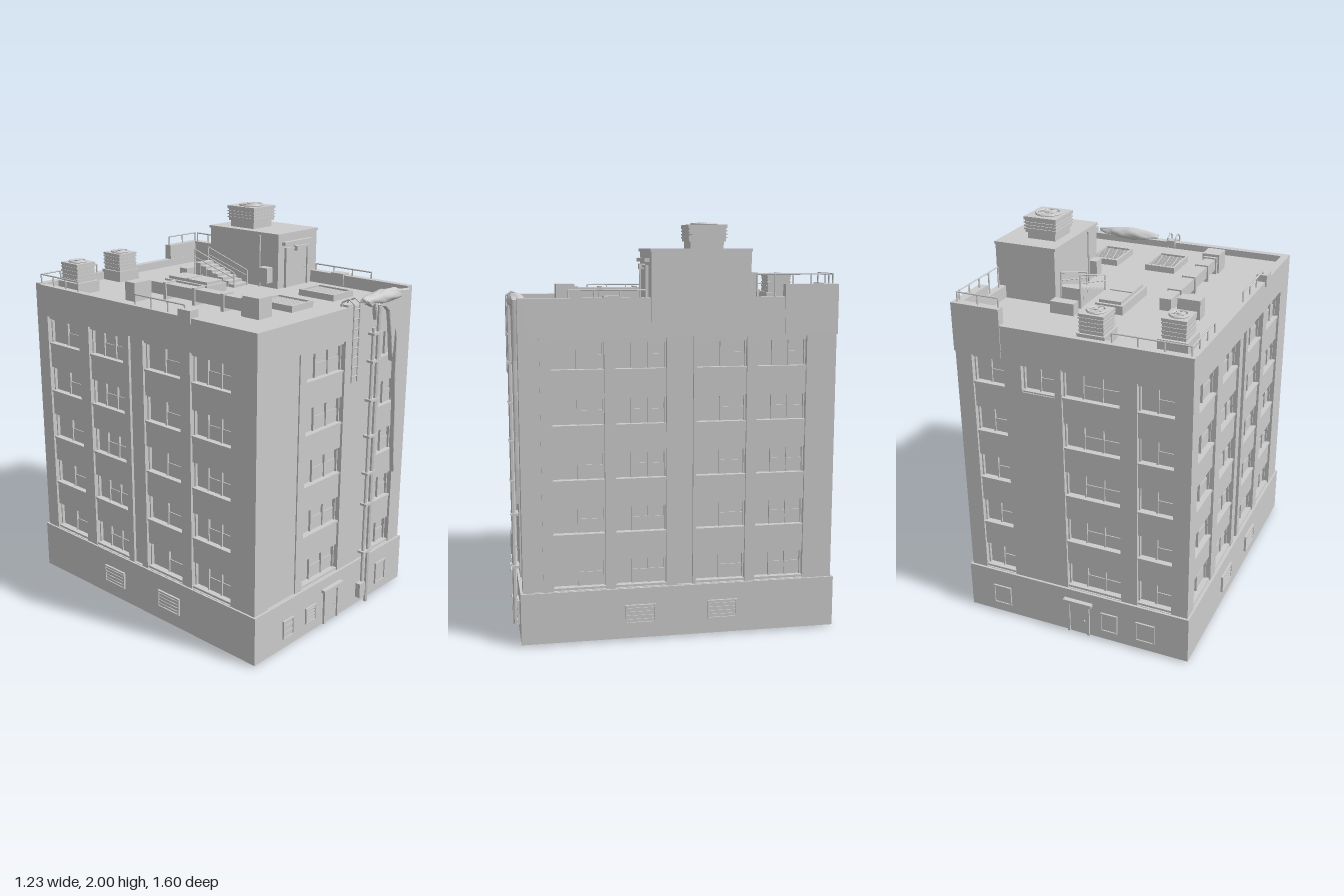
import * as THREE from 'three';

const mat = new THREE.MeshStandardMaterial({ color: 0xcccccc, flatShading: true });
const sheet = new THREE.MeshStandardMaterial({ color: 0xcccccc, side: THREE.DoubleSide });
const W = 0.595, D = 0.762, ZC = -0.007;   // half width, half depth, centre of the body
const ROOF = 1.59;

function add(parent, name, geo, x = 0, y = 0, z = 0, m = mat) {
  const mesh = new THREE.Mesh(geo, m);
  mesh.name = name;
  mesh.position.set(x, y, z);
  parent.add(mesh);
  return mesh;
}
// Box given by its limits
function box(parent, name, x0, x1, y0, y1, z0, z1) {
  return add(parent, name, new THREE.BoxGeometry(x1 - x0, y1 - y0, z1 - z0), (x0 + x1) / 2, (y0 + y1) / 2, (z0 + z1) / 2);
}
function group(parent, name) {
  const g = new THREE.Group();
  g.name = name;
  parent.add(g);
  return g;
}
// Round bar through a few points
function bar(parent, name, pts, r = 0.004) {
  for (let i = 1; i < pts.length; i++) {
    const a = new THREE.Vector3(...pts[i - 1]), b = new THREE.Vector3(...pts[i]);
    const m = add(parent, name, new THREE.CylinderGeometry(r, r, a.distanceTo(b), 6));
    m.position.copy(a).lerp(b, 0.5);
    m.quaternion.setFromUnitVectors(new THREE.Vector3(0, 1, 0), b.sub(a).normalize());
  }
}

const floorY = i => 0.268 + 0.2618 * i, WIN = 0.135;

// Framed window set back in the wall; local z = 0 is the wall face
function windowUnit(parent, u0, u1, y, panes) {
  const g = group(parent, 'window'), f = 0.007;
  box(g, 'frameTop', u0, u1, y + WIN - f, y + WIN, -0.04, -0.024);
  box(g, 'sill', u0, u1, y - 0.004, y + f, -0.04, -0.006);
  for (const u of [u0, u1 - f]) box(g, 'frameSide', u, u + f, y, y + WIN, -0.04, -0.024);
  for (let p = 1; p < panes; p++) {
    const u = u0 + (u1 - u0) * p / panes;
    box(g, 'mullion', u - 0.004, u + 0.004, y, y + WIN, -0.04, -0.028);
  }
  box(g, 'sash', u0 + (u1 - u0) / panes, u1, y + f, y + WIN * 0.55, -0.04, -0.035);
}

// Wall facing local +z: window columns, single top windows and shallow blind panels
function wall(parent, name, half, top, cols, singles, panels) {
  const g = group(parent, name);
  const s = new THREE.Shape([[-half, 0.2], [half, 0.2], [half, top], [-half, top]].map(p => new THREE.Vector2(...p)));
  const cut = (a, b, c, d) => s.holes.push(new THREE.Path([[a, c], [a, d], [b, d], [b, c]].map(p => new THREE.Vector2(...p))));
  cols.forEach(([a, b, panes]) => {
    cut(a, b, 0.262, 1.465);
    for (let i = 0; i < 5; i++) {
      const y = floorY(i);
      windowUnit(g, a, b, y, panes);
      box(g, 'spandrel', a, b, y + WIN, i < 4 ? floorY(i + 1) : 1.465, -0.04, -0.012);
    }
  });
  singles.forEach(([a, b]) => {
    cut(a, b, floorY(4), floorY(4) + WIN);
    windowUnit(g, a, b, floorY(4), 2);
  });
  panels.forEach(([a, b, depth]) => {
    cut(a, b, 0.262, 1.47);
    box(g, 'blindPanel', a, b, 0.262, 1.47, -0.04, -depth);
  });
  add(g, 'wallFace', new THREE.ExtrudeGeometry(s, { depth: 0.04, bevelEnabled: false }), 0, 0, -0.04);
  return g;
}

// Framed grille or small window on the plinth
function vent(parent, u0, u1, y0, y1, slats) {
  const g = group(parent, 'plinthVent'), f = 0.007;
  box(g, 'ventBack', u0, u1, y0, y1, 0, 0.015);
  for (const y of [y0, y1 - f]) box(g, 'ventRim', u0, u1, y, y + f, 0, 0.021);
  for (const u of [u0, u1 - f]) box(g, 'ventRim', u, u + f, y0, y1, 0, 0.021);
  for (let i = 1; i <= slats; i++) {
    const y = y0 + (y1 - y0) * i / (slats + 1);
    box(g, 'slat', u0, u1, y - 0.004, y + 0.004, 0, 0.019);
  }
}

function door(parent, u0, u1, y0, y1, z) {
  const g = group(parent, 'door'), f = 0.012;
  box(g, 'doorLeaf', u0 + f, u1 - f, y0, y1 - f, 0, z + 0.003);
  for (const u of [u0, u1 - f]) box(g, 'doorJamb', u, u + f, y0, y1, 0, z + 0.011);
  box(g, 'doorHead', u0, u1, y1 - f, y1, 0, z + 0.011);
  add(g, 'handle', new THREE.SphereGeometry(0.005, 8, 6), u1 - 0.028, y0 + (y1 - y0) * 0.45, z + 0.006);
}

// Cooling unit with louvres and a fan on top
function coolingUnit(parent, x, z, w, d, y0, y1, foot) {
  const g = group(parent, 'coolingUnit');
  g.position.set(x, 0, z);
  const a = w / 2, b = d / 2, h = y1 - y0;
  box(g, 'unitFoot', -a * foot, a * foot, y0, y0 + h * 0.35, -b * foot, b * foot);
  box(g, 'unitBody', -a * 0.94, a * 0.94, y0 + h * 0.3, y1 - 0.018, -b * 0.94, b * 0.94);
  for (let i = 0; i < 4; i++) {
    const y = y0 + h * (0.42 + 0.12 * i);
    box(g, 'louvre', -a, a, y, y + 0.006, -b, b);
  }
  box(g, 'unitLid', -a, a, y1 - 0.024, y1 - 0.012, -b, b);
  const r = Math.min(a, b) * 0.68;
  add(g, 'fanRing', new THREE.TorusGeometry(r, 0.007, 6, 24), 0, y1 - 0.009, 0).rotation.x = Math.PI / 2;
  add(g, 'fanHub', new THREE.CylinderGeometry(r * 0.25, r * 0.25, 0.012, 10), 0, y1 - 0.007, 0);
  for (let i = 0; i < 6; i++) {
    const blade = add(g, 'fanBlade', new THREE.BoxGeometry(r * 0.8, 0.003, r * 0.35).translate(r * 0.5, 0, 0), 0, y1 - 0.008, 0);
    blade.rotation.set(0.25, i * Math.PI / 3, 0, 'YXZ');
  }
}

// Railing along a line on the parapet
function railing(parent, a, b, y0, y1, posts) {
  const g = group(parent, 'railing');
  bar(g, 'handrail', [[a[0], y1, a[1]], [b[0], y1, b[1]]]);
  for (let i = 0; i < posts; i++) {
    const t = i / (posts - 1), x = a[0] + (b[0] - a[0]) * t, z = a[1] + (b[1] - a[1]) * t;
    bar(g, 'post', [[x, y0, z], [x, y1, z]]);
  }
}

export function createModel() {
  const root = new THREE.Group();
  root.name = 'apartmentBlock';
  const body = group(root, 'body');
  body.position.z = ZC;

  // Core behind the windows, roof slab and plinth
  box(body, 'core', -W + 0.04, W - 0.04, 0.2, ROOF - 0.01, -D + 0.04, D - 0.04);
  box(body, 'roofDeck', -W + 0.01, W - 0.01, 1.55, ROOF, -D + 0.01, D - 0.01);
  box(body, 'plinth', -W - 0.01, W + 0.01, 0.01, 0.26, -D - 0.012, D + 0.012);

  // Four walls, drawn in their own facing direction
  const front = wall(body, 'frontWall', W, 1.625, [[-0.245, 0.045, 3], [0.345, 0.5, 2]], [], [[-0.5, -0.295, 0.007]]);
  const right = wall(body, 'rightWall', D, 1.652, [[-0.615, -0.365, 2], [-0.315, -0.07, 3], [0.075, 0.32, 2], [0.37, 0.615, 3]], [], [[-0.018, 0.06, 0.014], [-0.705, -0.665, 0.006]]);
  const back = wall(body, 'backWall', W, 1.63, [[-0.51, -0.34, 2], [-0.045, 0.245, 3], [0.33, 0.51, 2]], [[-0.25, -0.08]], []);
  const left = wall(body, 'leftWall', D, 1.625, [[-0.68, -0.43, 2], [-0.355, -0.1, 3], [0.04, 0.29, 2], [0.355, 0.61, 3]], [], [[-0.06, 0.0, 0.014]]);
  front.position.z = D;
  back.position.z = -D;
  back.rotation.y = Math.PI;
  right.position.x = W;
  right.rotation.y = Math.PI / 2;
  left.position.x = -W;
  left.rotation.y = -Math.PI / 2;

  // Plinth openings and street doors
  vent(front, -0.4, -0.32, 0.06, 0.16, 2);
  vent(front, -0.225, -0.145, 0.07, 0.155, 4);
  vent(front, 0.37, 0.46, 0.06, 0.18, 0);
  vent(back, -0.47, -0.37, 0.06, 0.17, 0);
  vent(back, 0.14, 0.23, 0.06, 0.17, 0);
  vent(back, 0.33, 0.43, 0.06, 0.17, 0);
  for (const side of [right, left]) {
    vent(side, -0.275, -0.125, 0.085, 0.178, 4);
    vent(side, 0.13, 0.28, 0.085, 0.178, 4);
  }
  for (const [side, u] of [[front, -0.02], [back, 0.018]]) {
    door(side, u - 0.06, u + 0.06, 0.01, 0.19, 0.012);
    box(side, 'doorCanopy', u - 0.077, u + 0.077, 0.192, 0.208, 0, 0.036);
  }

  // Roof walls: raised back corner, corner pads and piers
  const roof = group(root, 'roof');
  box(roof, 'cornerParapetSide', 0.555, 0.6, 1.47, 1.71, -0.773, -0.51);
  box(roof, 'cornerParapetBack', 0.35, 0.6, 1.47, 1.71, -0.773, -0.73);
  for (const s of [-1, 1]) box(roof, 'parapetPad', s * 0.575 - 0.027, s * 0.575 + 0.027, 1.6, 1.66, 0.28, 0.36);
  box(roof, 'frontParapetPad', 0.06, 0.11, 1.6, 1.635, 0.705, 0.75);

  // Stair house with its door and lamp
  box(roof, 'stairHouse', 0.28, 0.6, 1.47, 1.87, -0.34, 0.137);
  box(roof, 'stairHouseCap', 0.273, 0.603, 1.862, 1.876, -0.345, 0.142);
  const houseFront = group(roof, 'stairHouseFront');
  houseFront.position.z = 0.137;
  door(houseFront, 0.33, 0.52, ROOF, 1.8, 0.003);
  box(houseFront, 'doorHood', 0.31, 0.545, 1.815, 1.832, 0, 0.022);
  box(houseFront, 'lamp', 0.4, 0.43, 1.78, 1.805, 0, 0.03);
  box(roof, 'meterBox', 0.235, 0.28, 1.62, 1.7, 0.04, 0.1);
  bar(roof, 'conduit', [[0.27, ROOF, 0.02], [0.27, 1.86, 0.02]], 0.005);

  // Steps beside the stair house
  const steps = group(roof, 'steps');
  for (let i = 0; i < 7; i++) box(steps, 'step', 0.15, 0.255, ROOF, 1.605 + 0.014 * i, -0.09 - 0.041 * i, -0.05 - 0.041 * i);
  for (const x of [0.147, 0.25]) {
    bar(steps, 'stairRail', [[x, ROOF, -0.05], [x, 1.67, -0.05], [x, 1.76, -0.335], [x, ROOF, -0.335]]);
    bar(steps, 'midRail', [[x, 1.64, -0.05], [x, 1.72, -0.335]], 0.003);
  }

  // Cooling units, skylight, duct and boxes
  coolingUnit(roof, 0.4, -0.155, 0.175, 0.19, 1.87, 2.0, 0.85);
  coolingUnit(roof, -0.455, -0.59, 0.12, 0.13, ROOF, 1.755, 1.2);
  coolingUnit(roof, -0.095, -0.67, 0.125, 0.13, ROOF, 1.75, 1.1);
  box(roof, 'skylightCurb', -0.075, 0.07, ROOF, 1.635, -0.34, -0.035);
  box(roof, 'skylightLid', -0.06, 0.055, 1.63, 1.65, -0.325, -0.05);
  box(roof, 'skylightBar', -0.06, 0.055, 1.63, 1.655, -0.192, -0.183);
  box(roof, 'duct', -0.287, -0.228, 1.61, 1.67, -0.25, 0.42);
  for (const z of [-0.12, 0.08, 0.27, 0.4]) box(roof, 'ductCollar', -0.294, -0.221, ROOF, 1.677, z - 0.009, z + 0.009);
  box(roof, 'ductBox', -0.303, -0.21, ROOF, 1.69, 0.41, 0.51);
  box(roof, 'ventBox', -0.435, -0.32, ROOF, 1.685, -0.255, -0.187);
  box(roof, 'lowBox', 0.135, 0.26, ROOF, 1.65, -0.44, -0.385);
  for (const x of [-0.005, 0.322]) {
    const g = group(roof, 'roofGrille');
    box(g, 'grilleBase', x - 0.07, x + 0.07, ROOF, 1.6, 0.32, 0.52);
    for (const s of [-1, 1]) {
      box(g, 'grilleSide', x + s * 0.076 - 0.006, x + s * 0.076 + 0.006, ROOF, 1.622, 0.31, 0.53);
      box(g, 'grilleEnd', x - 0.08, x + 0.08, ROOF, 1.622, 0.42 + s * 0.104 - 0.006, 0.42 + s * 0.104 + 0.006);
    }
    for (let i = 0; i < 11; i++) box(g, 'grilleSlat', x - 0.07, x + 0.07, 1.6, 1.614, 0.328 + i * 0.0172, 0.338 + i * 0.0172);
  }

  // Railings on the parapets
  railing(roof, [-0.575, -0.03], [-0.575, 0.3], 1.62, 1.675, 4);
  railing(roof, [-0.575, -0.745], [-0.575, -0.45], 1.62, 1.675, 4);
  railing(roof, [-0.575, -0.745], [-0.2, -0.745], 1.62, 1.675, 4);
  railing(roof, [0.575, 0.16], [0.575, 0.52], 1.65, 1.687, 4);
  railing(roof, [0.575, -0.375], [0.575, -0.73], 1.64, 1.757, 5);
  railing(roof, [0.36, -0.75], [0.575, -0.75], 1.7, 1.757, 3);

  // Front drain pipes with brackets and a meter box
  const pipes = group(root, 'drainPipes');
  bar(pipes, 'pipe', [[0.24, 0.13, 0.776], [0.24, 1.5, 0.776]], 0.009);
  bar(pipes, 'pipe', [[0.277, 0, 0.78], [0.277, 1.6, 0.78], [0.277, 1.635, 0.74]], 0.011);
  for (const y of [0.3, 0.57, 0.74, 0.94, 1.13, 1.33, 1.47]) box(pipes, 'bracket', 0.223, 0.296, y - 0.006, y + 0.006, 0.75, 0.793);
  box(pipes, 'pipeBox', 0.2, 0.247, 0.05, 0.13, 0.76, 0.795);

  // Ladder hooked over the front parapet
  const ladder = group(root, 'ladder');
  for (const x of [0.06, 0.105]) bar(ladder, 'ladderRail', [[x, 1.26, 0.785], [x, 1.645, 0.785], [x, 1.665, 0.755], [x, 1.645, 0.715], [x, ROOF, 0.715]]);
  for (let i = 0; i < 8; i++) bar(ladder, 'rung', [[0.06, 1.29 + i * 0.047, 0.785], [0.105, 1.29 + i * 0.047, 0.785]], 0.003);

  // Overgrowth hanging from the front parapet
  const growth = group(root, 'overgrowth');
  const outline = [[0.19, 1.635], [0.22, 1.61], [0.25, 1.62], [0.262, 1.54], [0.28, 1.6], [0.34, 1.59], [0.375, 1.56],
    [0.4, 1.44], [0.42, 1.3], [0.432, 1.47], [0.452, 1.4], [0.455, 1.2], [0.47, 1.02], [0.478, 0.82], [0.488, 0.68],
    [0.497, 0.85], [0.495, 1.0], [0.508, 1.2], [0.506, 1.36], [0.526, 1.52], [0.54, 1.64], [0.4, 1.655]];
  const leaf = new THREE.Shape(outline.map(p => new THREE.Vector2(...p)));
  add(growth, 'hangingVine', new THREE.ExtrudeGeometry(leaf, { depth: 0.01, bevelThickness: 0.008, bevelSize: 0.005, bevelSegments: 2 }), 0, 0, 0.758, sheet);
  const clump = new THREE.SphereGeometry(1, 28, 14), p = clump.attributes.position;
  for (let i = 0; i < p.count; i++) {
    const x = p.getX(i), y = p.getY(i), z = p.getZ(i);
    const k = 1 + 0.1 * Math.sin(9 * x + 4 * z) * Math.cos(5 * y + 3 * z);
    p.setXYZ(i, x * 0.175 * k, y * 0.034 * k, z * 0.042 * k);
  }
  clump.computeVertexNormals();
  add(growth, 'clump', clump, 0.345, 1.632, 0.748, sheet);
  return root;
}
